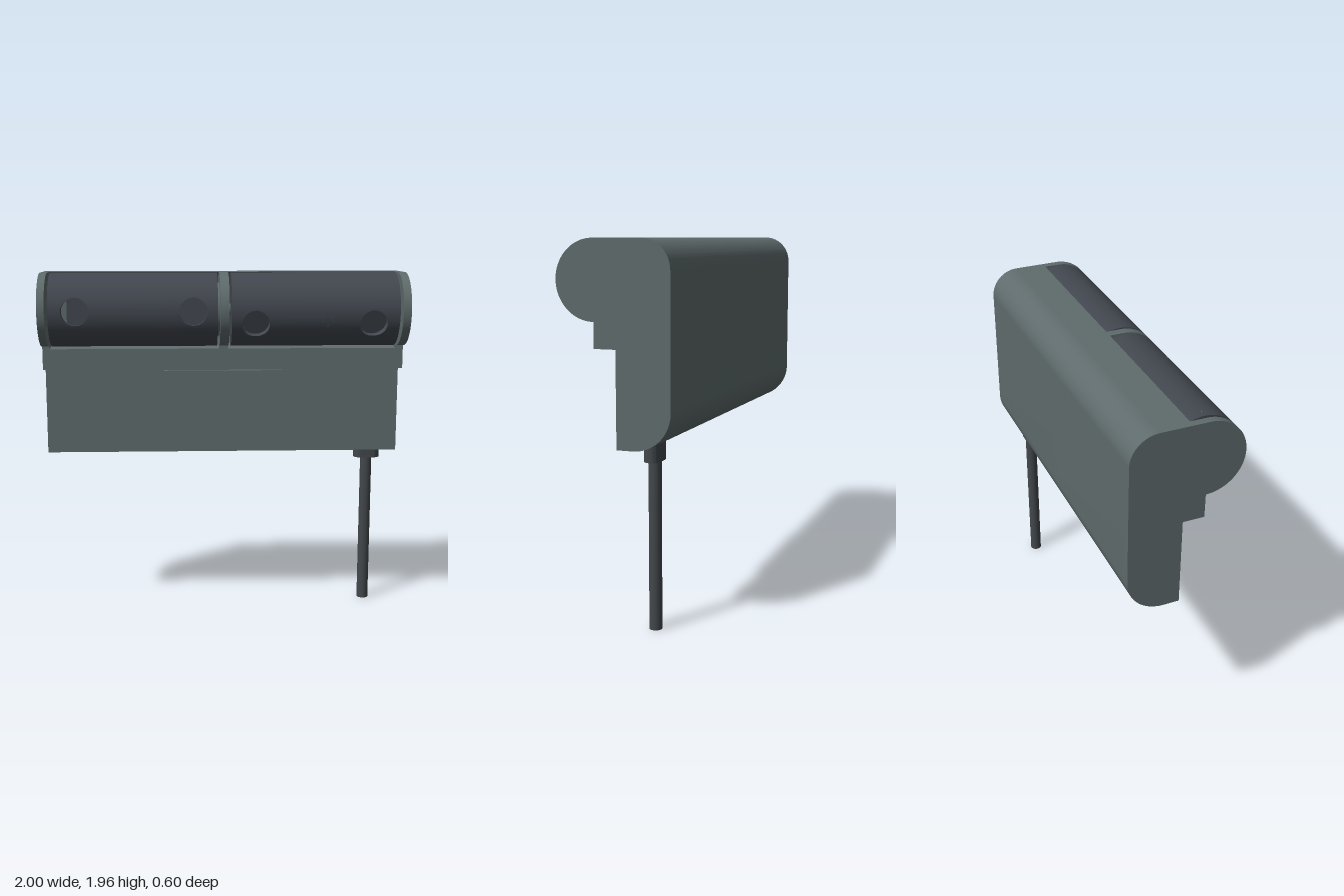
import * as THREE from 'three';
import { toCreasedNormals } from 'three/addons/utils/BufferGeometryUtils.js';

const R = 0.2, AXIS_Y = 1.76, AXIS_Z = 0.1;   // drum radius and axis
const EYE_R = 0.075, HALF = 0.1, HALF_ANGLE = 0.5, FLOOR_Z = 0.155;

const flat = (name, color) => new THREE.MeshStandardMaterial({ name, color });

function add(parent, name, geometry, material) {
  const mesh = new THREE.Mesh(geometry, material);
  mesh.name = name;
  parent.add(mesh);
  return mesh;
}

// Side outline in (z, y); the bay version has a round trough for the drum
function housingShape(bay) {
  const s = new THREE.Shape();
  s.moveTo(-0.015, 0.94);
  s.lineTo(-0.015, 1.43);
  s.lineTo(0.1, 1.43);
  if (bay) {
    const r = 0.217;
    s.lineTo(0.1, AXIS_Y - r);
    s.absarc(AXIS_Z, AXIS_Y, r, -Math.PI / 2, Math.PI - Math.asin(R / r), true);
  } else {
    s.lineTo(0.1, AXIS_Y - R);
    s.absarc(AXIS_Z, AXIS_Y, R, -Math.PI / 2, Math.PI / 2, false);
  }
  s.lineTo(-0.15, 1.96);
  s.absarc(-0.15, 1.81, 0.15, Math.PI / 2, Math.PI, false);
  s.lineTo(-0.3, 1.14);
  s.absarc(-0.1, 1.14, 0.2, Math.PI, Math.PI * 1.5, false);
  s.closePath();
  return s;
}

function housingSlice(x0, x1, bay) {
  const g = new THREE.ExtrudeGeometry(housingShape(bay), { depth: x1 - x0, bevelEnabled: false, curveSegments: 32 });
  g.rotateY(-Math.PI / 2).translate(x1, 0, 0);
  return toCreasedNormals(g, 0.5);
}

// Cylinder lying along x
function xCylinder(r, x0, x1, open = false, start = 0, length = Math.PI * 2) {
  return new THREE.CylinderGeometry(r, r, x1 - x0, 96, 1, open, start, length)
    .rotateZ(-Math.PI / 2).translate((x0 + x1) / 2, 0, 0);
}

// Surface through closed rings; point(row, angle) gives [position, normal]
function loft(rows, point) {
  const n = 64, pos = [], nor = [], idx = [];
  for (let j = 0; j <= rows; j++) {
    for (let i = 0; i <= n; i++) {
      const [p, q] = point(j / rows, (i / n) * Math.PI * 2);
      pos.push(...p);
      nor.push(...q);
      if (j < rows && i < n) {
        const a = j * (n + 1) + i, b = a + n + 1;
        idx.push(a, a + 1, b + 1, a, b + 1, b);
      }
    }
  }
  const g = new THREE.BufferGeometry();
  g.setAttribute('position', new THREE.Float32BufferAttribute(pos, 3));
  g.setAttribute('normal', new THREE.Float32BufferAttribute(nor, 3));
  g.setIndex(idx);
  return g;
}

// Curved square of drum skin around a round opening
const skinPatch = () => loft(5, (k, a) => {
  const c = Math.cos(a), s = Math.sin(a), m = Math.max(Math.abs(c), Math.abs(s));
  const x = THREE.MathUtils.lerp(HALF * c / m, EYE_R * c, k);
  const t = THREE.MathUtils.lerp(HALF_ANGLE * s / m, Math.asin(EYE_R * s / R), k);
  return [[x, R * Math.sin(t), R * Math.cos(t)], [0, Math.sin(t), Math.cos(t)]];
});

// Straight wall of the opening
const eyeWall = () => loft(1, (k, a) => {
  const x = EYE_R * Math.cos(a), y = EYE_R * Math.sin(a);
  return [[x, y, k ? FLOOR_Z : Math.sqrt(R * R - y * y)], [-Math.cos(a), -Math.sin(a), 0]];
});

function drum(name, x0, x1, eyes, dotX, tilt, mat) {
  const group = new THREE.Group();
  group.name = name;
  group.position.set(0, AXIS_Y, AXIS_Z);
  group.rotation.x = tilt;
  // plain bands of skin between the openings
  const edges = [x0, eyes[0] - HALF, eyes[0] + HALF, eyes[1] - HALF, eyes[1] + HALF, x1];
  for (let i = 0; i < 6; i += 2) add(group, 'drumBand', xCylinder(R, edges[i], edges[i + 1], true), mat);
  for (const x of eyes) {
    const back = xCylinder(R, x - HALF, x + HALF, true, HALF_ANGLE, Math.PI * 2 - 2 * HALF_ANGLE);
    add(group, 'drumBack', back, mat);
    add(group, 'eyeSurround', skinPatch(), mat).position.x = x;
    add(group, 'eyeWall', eyeWall(), mat).position.x = x;
    add(group, 'eyeFloor', new THREE.CircleGeometry(EYE_R, 48), mat).position.set(x, 0, FLOOR_Z);
  }
  for (const [x, side] of [[x0, -1], [x1, 1]]) {
    add(group, 'drumEnd', new THREE.CircleGeometry(R, 96).rotateY(side * Math.PI / 2), mat).position.x = x;
  }
  // trio of small buttons
  for (const [dx, angle, r] of [[-0.027, 0.15, 0.014], [0.027, 0.15, 0.014], [0, -0.07, 0.007]]) {
    const g = new THREE.CylinderGeometry(r, r, 0.006, 20).rotateX(Math.PI / 2).translate(0, 0, R).rotateX(-angle);
    add(group, 'smallButton', g, mat).position.x = dotX + dx;
  }
  return group;
}

export function createModel() {
  const model = new THREE.Group();
  const grey = flat('housing grey', 0x5f6b6c);
  const dark = flat('drum charcoal', 0x42474f);
  const cableMat = flat('cable charcoal', 0x42474b);

  // Housing: end cheeks, divider and two bays
  const housing = new THREE.Group();
  housing.name = 'housing';
  model.add(housing);
  const slices = [
    ['rightCheek', -1, -0.96, false], ['rightBay', -0.96, -0.026, true], ['divider', -0.026, 0.023, false],
    ['leftBay', 0.023, 0.957, true], ['leftCheek', 0.957, 1, false],
  ];
  for (const [name, a, b, bay] of slices) add(housing, name, housingSlice(a, b, bay), grey);

  add(model, 'frontPanel', new THREE.BoxGeometry(0.67, 0.22, 0.04), grey).position.set(0, 1.3, -0.005);

  // Drums and their pivots
  const rightDrum = drum('rightDrum', -0.943, -0.039, [-0.8, -0.17], -0.413, 0, dark);
  model.add(rightDrum, drum('leftDrum', 0.036, 0.94, [0.165, 0.8], 0.553, 0.358, dark));
  for (const [r, a, b] of [[0.045, -0.965, -0.94], [0.145, -0.042, -0.02], [0.03, 0.02, 0.04], [0.03, 0.935, 0.96]]) {
    add(model, 'pivot', xCylinder(r, a, b), grey).position.set(0, AXIS_Y, AXIS_Z);
  }

  // Pale insert inside the outer right opening
  const segment = new THREE.Shape();
  const cut = Math.acos(0.045 / EYE_R);
  segment.absarc(0, 0, EYE_R - 0.001, Math.PI - cut, Math.PI + cut, false);
  const insert = add(rightDrum, 'eyeInsert', new THREE.ShapeGeometry(segment, 24), grey);
  insert.position.set(-0.8, 0, FLOOR_Z + 0.003);

  // Cable and its rounded collar
  const collar = new THREE.Shape();
  collar.absarc(0.035, 0, 0.04, -Math.PI / 2, Math.PI / 2, false);
  collar.absarc(-0.035, 0, 0.04, Math.PI / 2, Math.PI * 1.5, false);
  const collarGeo = new THREE.ExtrudeGeometry(collar, { depth: 0.15, bevelEnabled: false, curveSegments: 20 });
  collarGeo.rotateX(-Math.PI / 2);
  add(model, 'cableCollar', toCreasedNormals(collarGeo, 0.5), cableMat).position.set(0.855, 0.872, -0.157);
  add(model, 'cable', new THREE.CylinderGeometry(0.033, 0.033, 0.9, 32), cableMat).position.set(0.855, 0.45, -0.157);

  return model;
}
